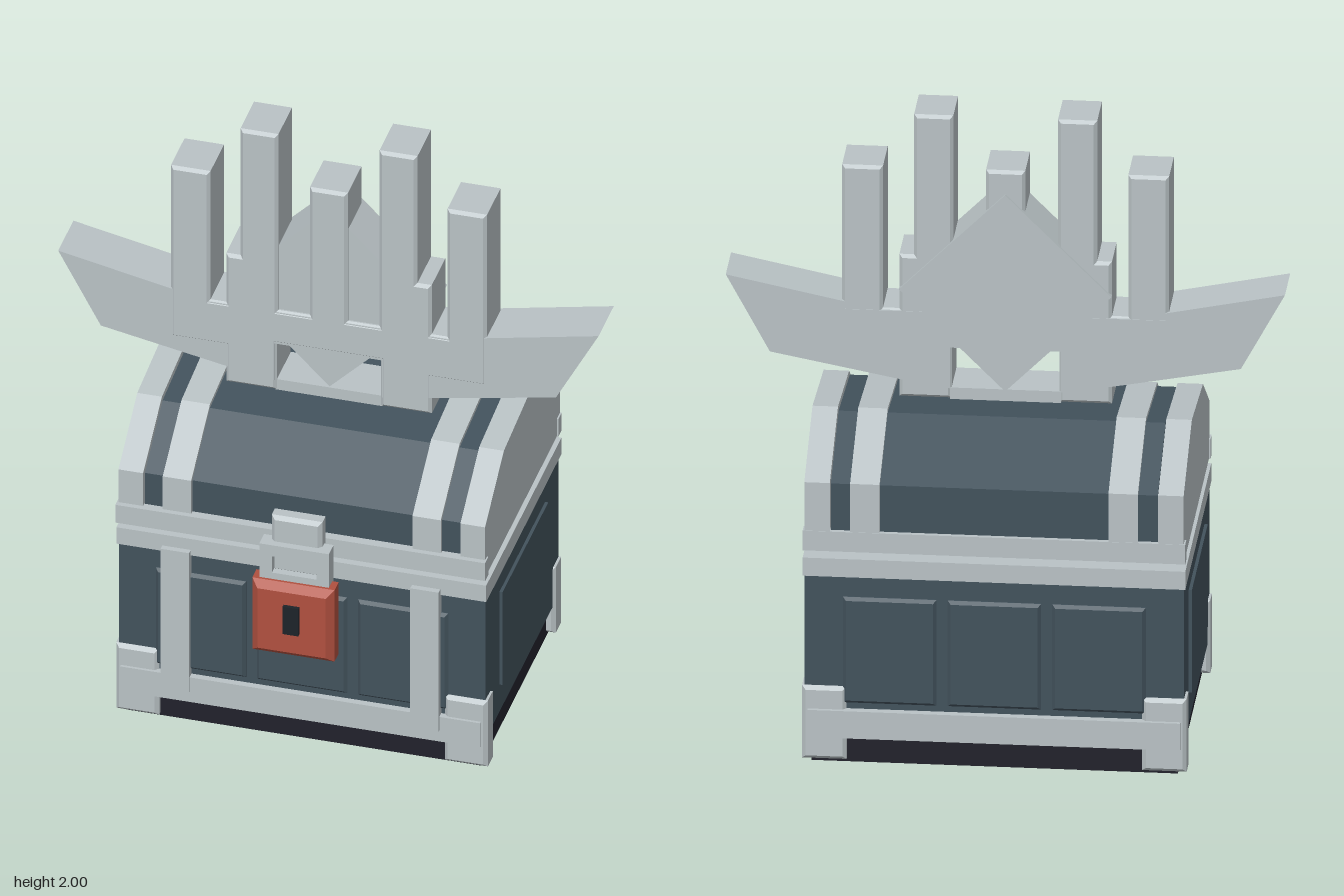
import * as THREE from 'three';

const mat = (name, color) => {
  const m = new THREE.MeshStandardMaterial({ color });
  m.name = name;
  return m;
};

export function createModel() {
  const metal = mat('pale metal', 0xb9c2c5);
  const slate = mat('dark slate', 0x42525c);
  const black = mat('near black base', 0x21212b);
  const red = mat('red lock', 0xb0503f);
  const ink = mat('keyhole black', 0x1d2329);
  const group = new THREE.Group();

  const add = (name, geometry, material) => {
    const mesh = new THREE.Mesh(geometry, material);
    mesh.name = name;
    group.add(mesh);
    return mesh;
  };
  // Box given by its limits
  const box = (name, material, x0, x1, y0, y1, z0, z1) => {
    const g = new THREE.BoxGeometry(x1 - x0, y1 - y0, z1 - z0);
    g.translate((x0 + x1) / 2, (y0 + y1) / 2, (z0 + z1) / 2);
    return add(name, g, material);
  };
  const shapeOf = (pts) => new THREE.Shape(pts.map(([x, y]) => new THREE.Vector2(x, y)));
  // Shape extruded from z0 to z1 with a chamfer c kept inside the outline
  const slab = (shape, z0, z1, c = 0) => {
    const g = new THREE.ExtrudeGeometry(shape, {
      depth: z1 - z0 - 2 * c, bevelEnabled: c > 0, bevelThickness: c,
      bevelSize: c, bevelOffset: -c, bevelSegments: 1,
    });
    return g.translate(0, 0, z0 + c);
  };
  const rect = (x0, x1, y0, y1) => shapeOf([[x0, y0], [x1, y0], [x1, y1], [x0, y1]]);
  const chamferBox = (name, material, x0, x1, y0, y1, z0, z1, c) =>
    add(name, slab(rect(x0, x1, y0, y1), z0, z1, c), material);

  // Chest body, base and rim
  box('base', black, -0.56, 0.56, 0, 0.12, -0.45, 0.34);
  box('body', slate, -0.58, 0.58, 0.11, 0.63, -0.46, 0.355);
  box('bodyRim', metal, -0.585, 0.585, 0.62, 0.68, -0.475, 0.365);

  // Raised panels on all four sides
  for (const x of [-0.32, 0, 0.32]) {
    chamferBox('frontPanel', slate, x - 0.143, x + 0.143, 0.2, 0.55, 0.335, 0.366, 0.01);
    chamferBox('backPanel', slate, x - 0.143, x + 0.143, 0.2, 0.55, -0.472, -0.44, 0.01);
  }
  for (const s of [-1, 1]) {
    const panel = slab(rect(-0.2, 0.31, 0.21, 0.55), 0.565, 0.59);
    panel.rotateY(Math.PI / 2);
    if (s < 0) panel.rotateY(Math.PI).translate(0, 0, -0.11);
    add('sidePanel', panel, slate);
  }

  // Lower rails, front straps and corner feet
  box('frontRail', metal, -0.57, 0.57, 0.09, 0.18, 0.34, 0.377);
  box('backRail', metal, -0.57, 0.57, 0.09, 0.18, -0.485, -0.45);
  for (const s of [-1, 1]) {
    box('frontStrap', metal, s * 0.395 - 0.045, s * 0.395 + 0.045, 0.13, 0.64, 0.35, 0.384);
    const x = s * 0.52;
    chamferBox('frontFoot', metal, x - 0.068, x + 0.068, 0.012, 0.253, 0.29, 0.368, 0.012);
    chamferBox('backFoot', metal, x - 0.068, x + 0.068, 0.012, 0.253, -0.473, -0.39, 0.012);
  }

  // Faceted lid: a dark core with raised bands and end caps
  const lidPart = (name, material, x0, x1, inset) => {
    const i = inset;
    const profile = shapeOf([
      [-0.36 + i, 0.705], [0.475 - i, 0.705], [0.475 - i, 0.93 - i * 0.5],
      [0.21, 1.07 - i], [-0.15, 1.035 - i], [-0.36 + i, 0.89 - i * 0.5],
    ]);
    const g = slab(profile, x0, x1);
    g.rotateY(Math.PI / 2); // shape x becomes -z, depth becomes x
    add(name, g, material);
  };
  lidPart('lid', slate, -0.5, 0.5, 0.013);
  for (const s of [-1, 1]) {
    lidPart('lidEndCap', metal, s * 0.541 - 0.039, s * 0.541 + 0.039, 0);
    lidPart('lidBand', metal, s * 0.395 - 0.045, s * 0.395 + 0.045, 0);
  }
  box('lidFrontRim', metal, -0.585, 0.585, 0.705, 0.77, 0.34, 0.377);
  box('lidBackRim', metal, -0.585, 0.585, 0.705, 0.77, -0.477, -0.44);

  // Hasp, shackle, padlock and keyhole
  chamferBox('hasp', metal, -0.08, 0.08, 0.65, 0.85, 0.365, 0.422, 0.012);
  const shackle = rect(-0.11, 0.11, 0.62, 0.76);
  shackle.holes.push(new THREE.Path(rect(-0.07, 0.07, 0.66, 0.72).getPoints().reverse()));
  add('shackle', slab(shackle, 0.392, 0.445), metal);
  chamferBox('padlock', red, -0.13, 0.13, 0.375, 0.637, 0.385, 0.475, 0.022);
  box('keyhole', ink, -0.025, 0.025, 0.47, 0.57, 0.47, 0.487);

  // Crest on top: mirrored outline of five upright bars
  const mirror = (half) => [...half, ...half.map(([x, y]) => [-x, y]).reverse()];
  const bars = shapeOf(mirror([
    [0.165, 1.235], [0.165, 1.065], [0.325, 1.065], [0.325, 1.2], [0.375, 1.2],
    [0.5, 1.2], [0.5, 1.825], [0.375, 1.825], [0.375, 1.355], [0.325, 1.355],
    [0.325, 1.535], [0.28, 1.535], [0.28, 2], [0.16, 2], [0.16, 1.355],
    [0.06, 1.355], [0.06, 1.825],
  ]));
  add('crestBars', slab(bars, -0.105, 0.065, 0.01), metal);

  // Pointed wings sweeping out to both sides
  const wings = shapeOf(mirror([
    [0.17, 1.235], [0.17, 1.1], [0.325, 1.125], [0.72, 1.2],
    [0.855, 1.45], [0.49, 1.375], [0.49, 1.35],
  ]));
  add('crestWings', slab(wings, -0.107, 0.063), metal);
  box('crestFoot', metal, -0.17, 0.17, 1.062, 1.1, -0.1, 0.055);

  // Square block turned on its corner, set into the crest
  const d = 0.325;
  const diamond = shapeOf([[0, 1.425 - d], [d, 1.425], [0, 1.425 + d], [-d, 1.425]]);
  add('crestDiamond', slab(diamond, -0.115, 0.05), metal);

  return group;
}
